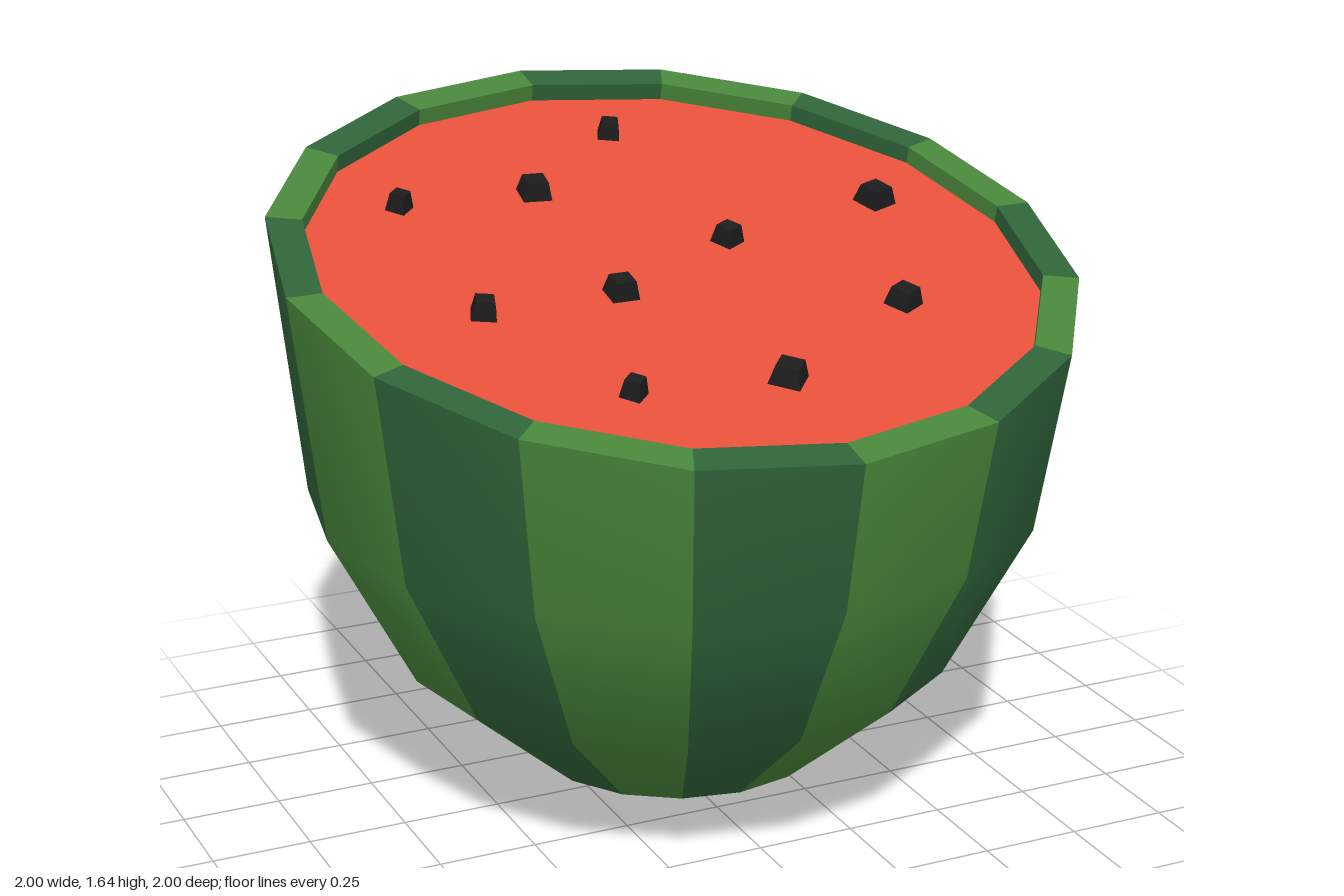
import * as THREE from 'three';

const SIDES = 16;
const RIM_Y = 1.41;      // height of the cut at z = 0
const SLOPE = -0.234;    // the cut falls towards the front
const INNER = 0.91;      // inner radius of the rind
const RECESS = 0.045;    // flesh sits this far below the rim
const normal = new THREE.Vector3(0, 1, -SLOPE).normalize();

const material = (color, extra = {}) =>
  new THREE.MeshStandardMaterial({ color, roughness: 1, ...extra });

// Turn a [radius, height] profile; points at or above RIM_Y are slanted to the cut.
function turned(profile) {
  const g = new THREE.LatheGeometry(profile.map(([r, y]) => new THREE.Vector2(r, y)), SIDES);
  const p = g.attributes.position;
  for (let i = 0; i < p.count; i++) {
    if (p.getY(i) >= RIM_Y - 1e-4) p.setY(i, p.getY(i) + SLOPE * p.getZ(i));
  }
  return g;
}

// Alternate two materials around the sides; the first `plain` bands stay dark.
function stripe(g, bands, plain = 0) {
  for (let i = 0; i < SIDES; i++) {
    for (let j = 0; j < bands; j++) {
      g.addGroup((i * bands + j) * 6, 6, j >= plain && i % 2 === 0 ? 1 : 0);
    }
  }
  return g;
}

export function createModel() {
  const group = new THREE.Group();
  const add = (name, geometry, mat) => {
    const mesh = new THREE.Mesh(geometry, mat);
    mesh.name = name;
    group.add(mesh);
    return mesh;
  };
  const dark = 0x2f6339, light = 0x48853a;

  // Striped outer rind with a dark base
  const rind = turned([[0, 0], [0.383, 0.1], [0.707, 0.38], [0.924, 0.79], [1, RIM_Y]]);
  add('rind', stripe(rind, 4, 1), [material(dark), material(light)]);

  // Flat rim and the short inner wall, sunk square to the cut
  const rim = turned([[1, RIM_Y], [INNER, RIM_Y], [INNER, RIM_Y]]);
  const p = rim.attributes.position;
  for (let i = 2; i < p.count; i += 3) {
    p.setXYZ(i, p.getX(i), p.getY(i) - normal.y * RECESS, p.getZ(i) - normal.z * RECESS);
  }
  add('rim', stripe(rim, 2),
    [material(dark, { flatShading: true }), material(light, { flatShading: true })]);

  // Slanted flesh
  const flesh = turned([[INNER, RIM_Y], [0, RIM_Y]]);
  flesh.translate(0, -normal.y * RECESS, -normal.z * RECESS);
  add('flesh', flesh, material(0xe5503a, { flatShading: true }));

  // Chunky seeds: x, z, width, turn
  const seeds = [
    [0.12, -0.68, 0.065, -0.4], [-0.56, -0.43, 0.06, 0.75], [-0.2, -0.42, 0.085, -0.1],
    [0.65, -0.18, 0.09, 0.35], [0.18, -0.08, 0.07, 0.5], [-0.55, 0.11, 0.07, -0.35],
    [-0.19, 0.1, 0.08, 0], [0.47, 0.31, 0.08, 0.5], [-0.35, 0.53, 0.06, 0.75],
    [0.03, 0.56, 0.09, 0.85],
  ];
  const seedGeometry = new THREE.CylinderGeometry(0.45, 0.707, 1, 4).rotateY(Math.PI / 4);
  const seedMaterial = material(0x1c1c1c, { flatShading: true });
  const tilt = new THREE.Quaternion().setFromUnitVectors(new THREE.Vector3(0, 1, 0), normal);
  const turn = new THREE.Quaternion();
  const up = new THREE.Vector3(0, 1, 0);
  for (const [x, z, w, a] of seeds) {
    const seed = add('seed', seedGeometry, seedMaterial);
    seed.scale.set(w, 0.07, w);
    seed.position.set(x, RIM_Y + SLOPE * z - RECESS / normal.y + 0.012, z);
    seed.quaternion.copy(tilt).multiply(turn.setFromAxisAngle(up, a));
  }
  return group;
}
